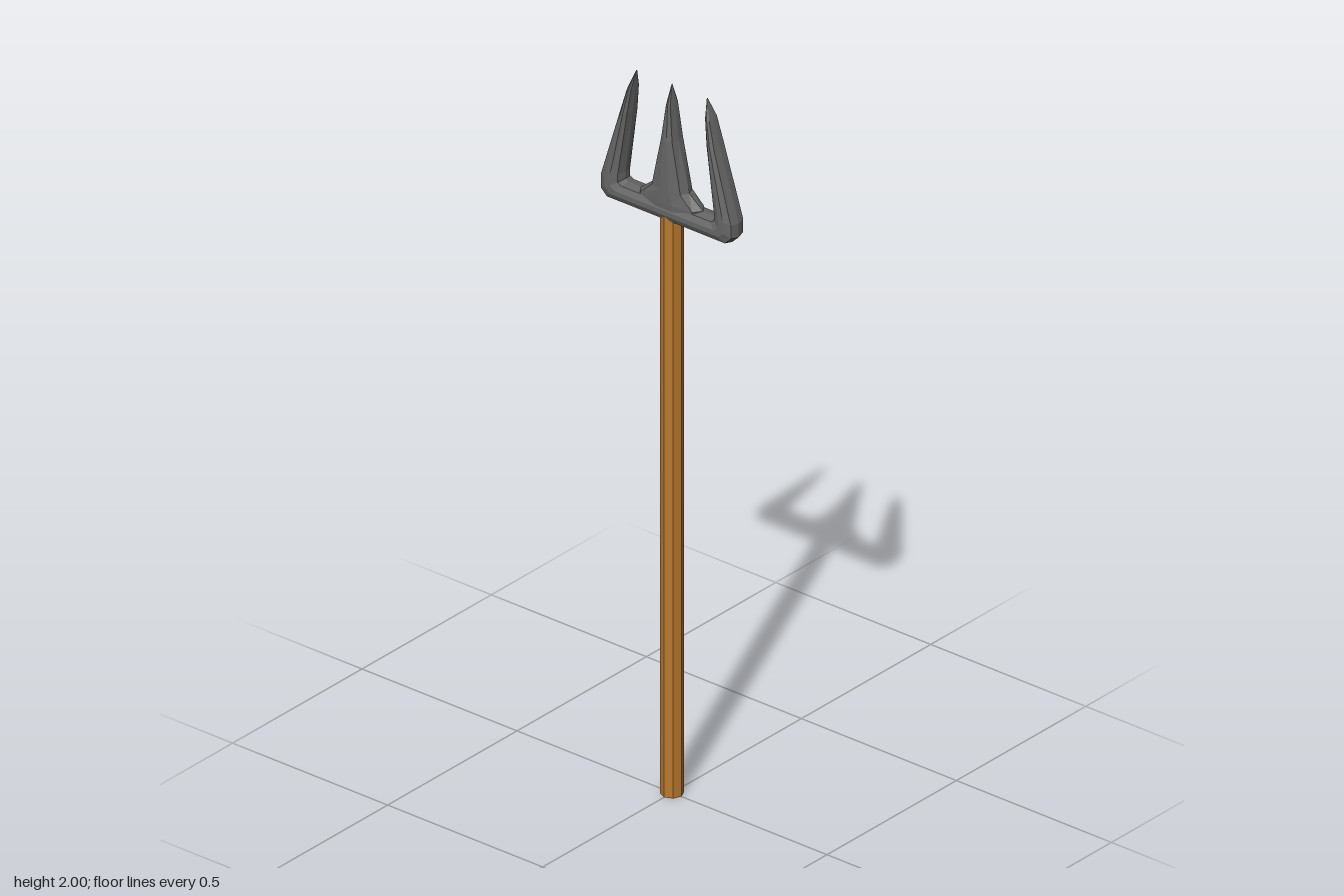
import * as THREE from 'three';

// Faceted cross-section: [along inner-to-outer half, along x half]
const RIM = [[1, 0], [0.84, 0.75], [0.25, 1], [-0.25, 1], [-0.84, 0.75],
  [-1, 0], [-0.84, -0.75], [-0.25, -1], [0.25, -1], [0.84, -0.75]];

// Skin a list of sections { o: outer [z, y], i: inner [z, y], hx: half width }
function loft(sections, material, name) {
  const positions = [], index = [], n = RIM.length;
  sections.forEach(({ o, i, hx }, s) => {
    RIM.forEach(([a, b], j) => {
      const mix = k => (o[k] + i[k]) / 2 + a * (o[k] - i[k]) / 2;
      positions.push(hx * b, mix(1), mix(0));
      if (s === sections.length - 1) return;
      const p = s * n + j, q = s * n + (j + 1) % n;
      index.push(p, q, q + n, p, q + n, p + n);
    });
  });
  const geometry = new THREE.BufferGeometry();
  geometry.setAttribute('position', new THREE.Float32BufferAttribute(positions, 3));
  geometry.setIndex(index);
  geometry.computeVertexNormals();
  const mesh = new THREE.Mesh(geometry, material);
  mesh.name = name;
  return mesh;
}

export function createModel() {
  const group = new THREE.Group();
  group.name = 'trident';
  const wood = new THREE.MeshStandardMaterial({ color: 0xb8792f, flatShading: true });
  const iron = new THREE.MeshStandardMaterial({ color: 0x666666, flatShading: true });

  // Wooden pole
  const pole = new THREE.Mesh(new THREE.CylinderGeometry(0.03, 0.03, 1.64, 8), wood);
  pole.position.y = 0.82;
  pole.name = 'pole';
  group.add(pole);

  // Outer tines and crossbar: one U-shaped sweep, half listed and mirrored
  const half = [
    { o: [0.114, 2.0], i: [0.113, 2.0], hx: 0.001 },
    { o: [0.134, 1.945], i: [0.118, 1.95], hx: 0.02 },
    { o: [0.154, 1.875], i: [0.126, 1.88], hx: 0.027 },
    { o: [0.215, 1.68], i: [0.15, 1.7], hx: 0.032 },
    { o: [0.215, 1.642], i: [0.15, 1.68], hx: 0.032 },
    { o: [0.195, 1.622], i: [0.14, 1.675], hx: 0.032 },
  ];
  const mirrored = half.map(({ o, i, hx }) => ({ o: [-o[0], o[1]], i: [-i[0], i[1]], hx }));
  group.add(loft([...mirrored, ...half.reverse()], iron, 'outerTinesAndCrossbar'));

  // Centre tine with flared foot: [y, half depth, half width]
  const centre = [
    [1.65, 0.105, 0.03], [1.675, 0.1, 0.031], [1.71, 0.055, 0.031],
    [1.85, 0.021, 0.028], [1.945, 0.008, 0.02], [2.0, 0.0005, 0.001],
  ].map(([y, z, hx]) => ({ o: [z, y], i: [-z, y], hx }));
  group.add(loft(centre, iron, 'centreTine'));

  return group;
}
